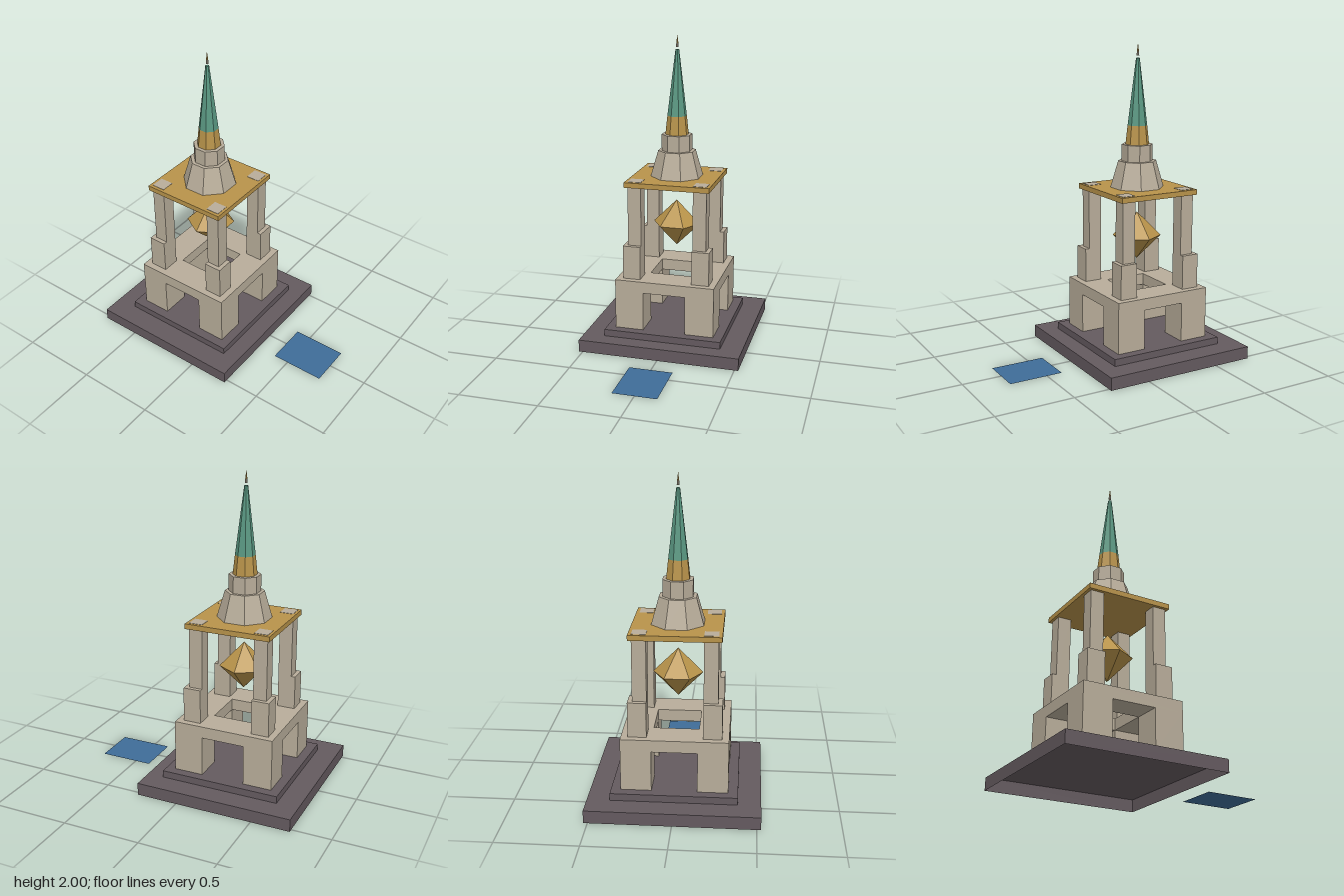
import * as THREE from 'three';

const CZ = -0.226; // z of the tower axis

function material(name, color, extra = {}) {
  const m = new THREE.MeshStandardMaterial({ color, flatShading: true, ...extra });
  m.name = name;
  return m;
}

export function createModel() {
  const stone = material('stone', 0xb8ad9a);
  const slate = material('dark slate', 0x645a5f, { side: THREE.DoubleSide });
  const gold = material('gold', 0xb8934a);
  const copper = material('green copper', 0x5a9882);
  const water = material('blue water', 0x3f6d98, { side: THREE.DoubleSide });

  const model = new THREE.Group();
  model.name = 'monument';
  const tower = new THREE.Group();
  tower.name = 'tower';
  tower.position.z = CZ;
  model.add(tower);

  const add = (parent, name, geometry, mat, x = 0, y = 0, z = 0) => {
    const mesh = new THREE.Mesh(geometry, mat);
    mesh.name = name;
    mesh.position.set(x, y, z);
    parent.add(mesh);
    return mesh;
  };

  // Box between two heights
  const block = (parent, name, mat, w, d, y0, y1, x = 0, z = 0) =>
    add(parent, name, new THREE.BoxGeometry(w, y1 - y0, d), mat, x, (y0 + y1) / 2, z);

  // Eight-sided frustum with flat sides facing the axes
  const frustum = (name, mat, a0, a1, y0, y1) => {
    const k = 1 / Math.cos(Math.PI / 8);
    const g = new THREE.CylinderGeometry(a1 * k, a0 * k, y1 - y0, 8).rotateY(Math.PI / 8);
    return add(tower, name, g, mat, 0, (y0 + y1) / 2, 0);
  };

  // Plinth: lower step is a shell open underneath, upper step sits on it
  const shell = new THREE.BoxGeometry(1.05, 0.08, 1.017);
  const faces = Array.from(shell.index.array);
  faces.splice(18, 6); // drop the bottom face
  shell.setIndex(faces);
  shell.clearGroups();
  add(model, 'lowerStep', shell, slate, 0, 0.04, -0.2415);
  block(tower, 'upperStep', slate, 0.77, 0.77, 0.08, 0.125);

  // Arcade slab with a square opening
  const slab = new THREE.Shape();
  const hole = new THREE.Path();
  const square = (path, h) =>
    path.moveTo(-h, -h).lineTo(h, -h).lineTo(h, h).lineTo(-h, h).closePath();
  square(slab, 0.326);
  square(hole, 0.139);
  slab.holes.push(hole);
  const slabGeometry = new THREE.ExtrudeGeometry(slab, { depth: 0.075, bevelEnabled: false });
  add(tower, 'arcadeSlab', slabGeometry.rotateX(-Math.PI / 2), stone, 0, 0.38, 0);

  // Corner legs and two-stage pillars; pillar tops show through the roof
  for (const sx of [-1, 1]) {
    for (const sz of [-1, 1]) {
      const corner = (name, inner, outer, y0, y1) => {
        const mid = (inner + outer) / 2;
        block(tower, name, stone, outer - inner, outer - inner, y0, y1, sx * mid, sz * mid);
      };
      corner('arcadeLeg', 0.139, 0.326, 0.125, 0.38);
      corner('pillarBase', 0.17, 0.284, 0.455, 0.675);
      corner('pillar', 0.17, 0.257, 0.675, 1.097);
    }
  }

  // Hanging six-sided crystal
  for (const up of [1, -1]) {
    const half = new THREE.CylinderGeometry(up > 0 ? 0 : 0.155, up > 0 ? 0.155 : 0, 0.155, 6, 1, true);
    add(tower, up > 0 ? 'crystalTop' : 'crystalBottom', half.rotateY(Math.PI / 6), gold, 0, 0.775 + up * 0.0775, 0);
  }

  // Roof and spire
  block(tower, 'roof', gold, 0.555, 0.55, 1.062, 1.095);
  frustum('spireSkirt', stone, 0.159, 0.113, 1.095, 1.265);
  frustum('spireDrum', stone, 0.092, 0.092, 1.265, 1.37);
  frustum('spireCollar', gold, 0.07, 0.058, 1.37, 1.49);
  frustum('spire', copper, 0.058, 0.011, 1.49, 1.91);
  frustum('finialBase', stone, 0.008, 0.006, 1.925, 1.95);
  frustum('finialSpike', gold, 0.006, 0.0005, 1.95, 2.0);

  // Pool in front of the steps
  add(model, 'pool', new THREE.PlaneGeometry(0.28, 0.347).rotateX(-Math.PI / 2), water, 0, 0.001, 0.5735);

  return model;
}
